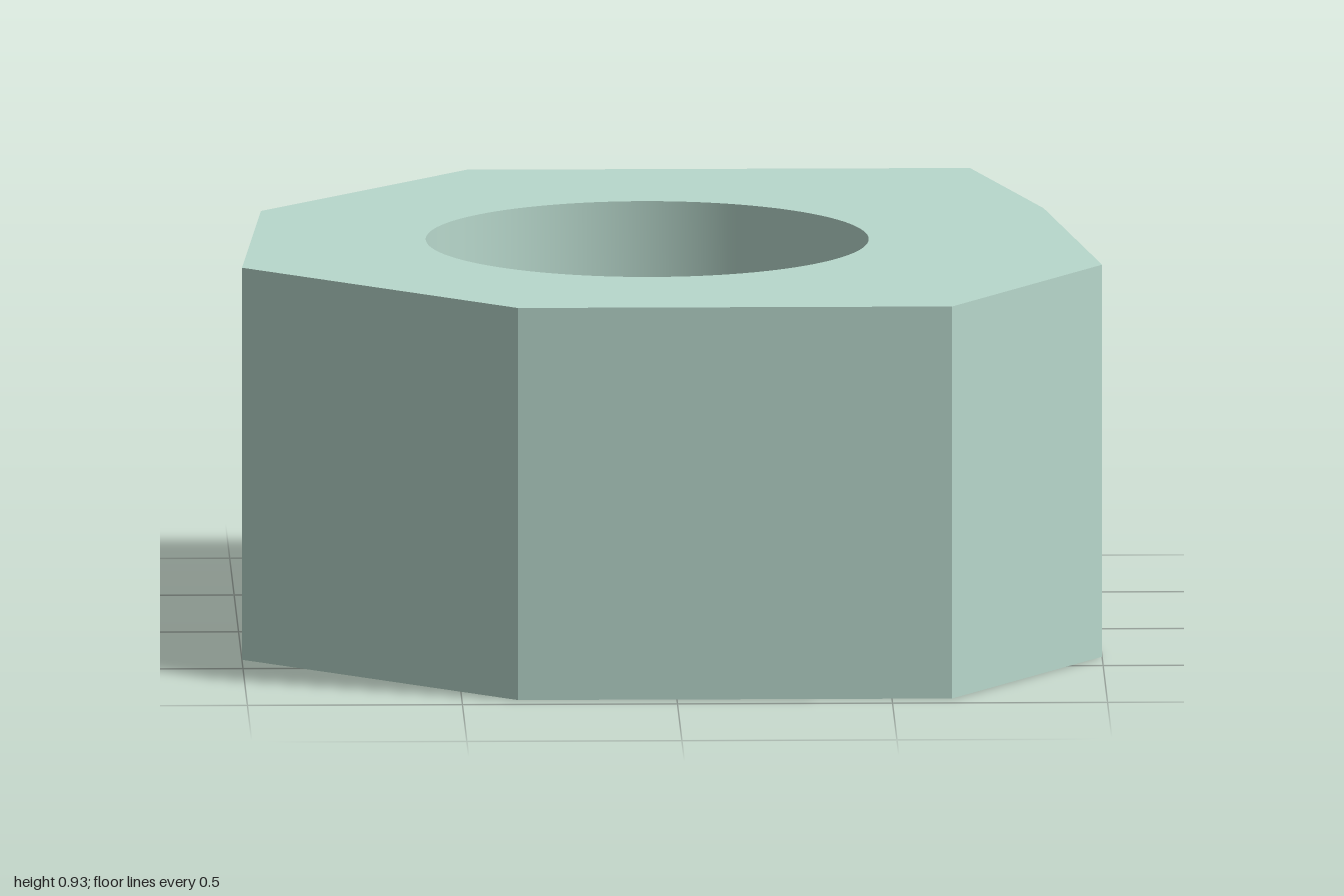
import * as THREE from 'three';
import { toCreasedNormals } from 'three/addons/utils/BufferGeometryUtils.js';

export function createModel() {
  const group = new THREE.Group();
  group.name = 'nut';

  // Irregular eight-sided outline, as x, z seen from above
  const outline = [
    [-0.37, 0.94], [0.64, 0.94], [1, 0.38], [0.88, -0.39],
    [0.72, -0.94], [-0.45, -0.94], [-0.94, -0.39], [-1, 0.38],
  ];
  const shape = new THREE.Shape(outline.map(([x, z]) => new THREE.Vector2(x, -z)));

  // Round bore, slightly off centre
  const bore = new THREE.Path();
  bore.absarc(-0.05, -0.01, 0.515, 0, Math.PI * 2, true);
  shape.holes.push(bore);

  // Extrude upwards; only the shallow side corner and the bore stay smooth
  const extruded = new THREE.ExtrudeGeometry(shape, {
    depth: 0.925, bevelEnabled: false, curveSegments: 72,
  });
  extruded.rotateX(-Math.PI / 2);

  const body = new THREE.Mesh(
    toCreasedNormals(extruded, Math.PI / 6),
    new THREE.MeshStandardMaterial({ color: 0xb8d8cc })
  );
  body.name = 'nutBody';
  group.add(body);
  return group;
}
